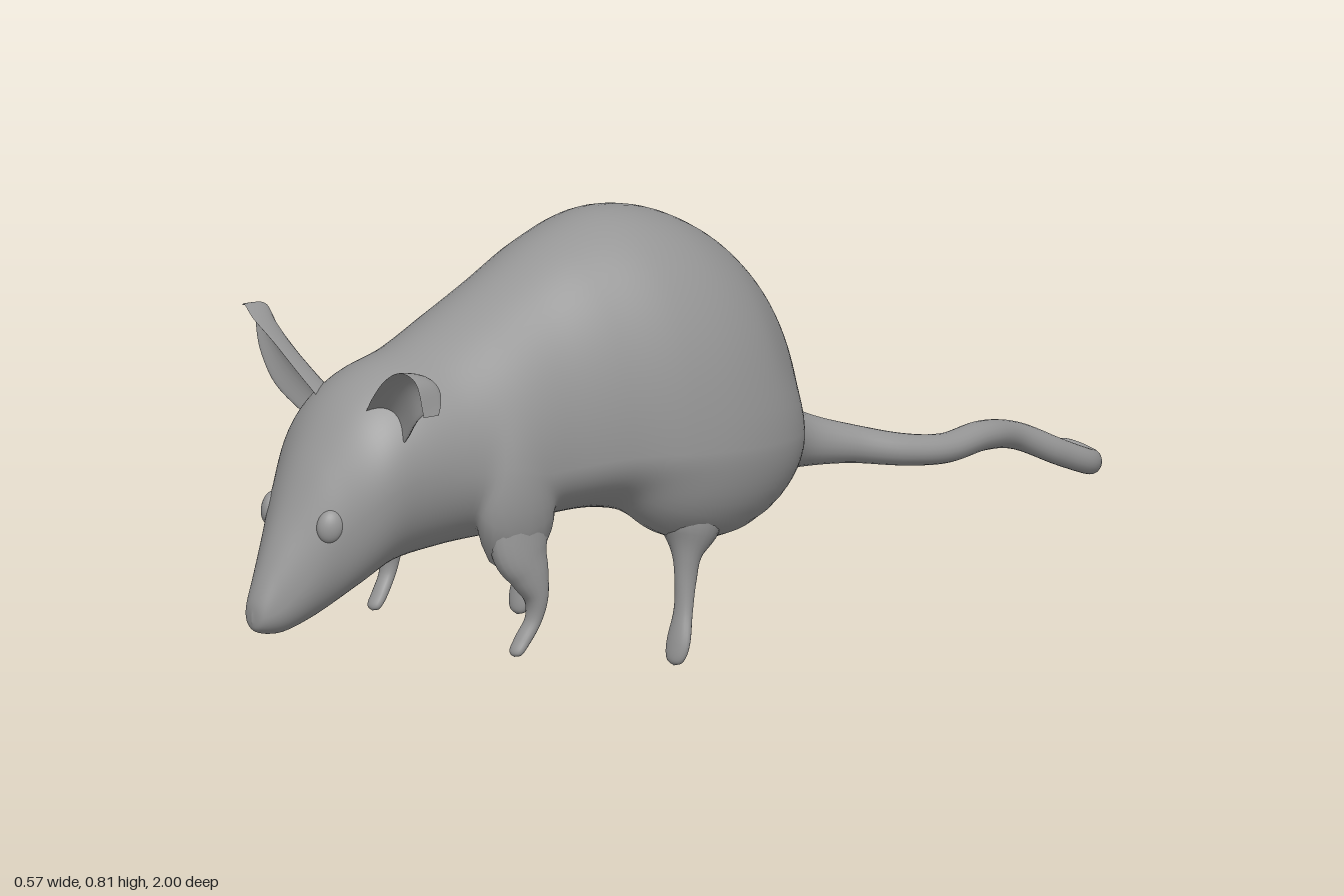
import * as THREE from 'three';

const material = new THREE.MeshStandardMaterial({ color: 0x969696 });
const V = (x, y, z) => new THREE.Vector3(x, y, z);
const spline = (pts) => new THREE.CatmullRomCurve3(pts, false, 'catmullrom', 0.5);

// Smooth skin over a list of closed rings, all with the same number of points
function loft(rings) {
  const n = rings[0].length, index = [];
  for (let i = 0; i < rings.length - 1; i++) {
    for (let j = 0; j < n; j++) {
      const k = (j + 1) % n;
      const a = i * n + j, b = i * n + k, c = a + n, d = b + n;
      index.push(a, c, b, b, c, d);
    }
  }
  const geometry = new THREE.BufferGeometry().setFromPoints(rings.flat());
  geometry.setIndex(index);
  geometry.computeVertexNormals();
  return geometry;
}

function makeRings(steps, sides, pointAt) {
  return Array.from({ length: steps + 1 }, (_, i) =>
    Array.from({ length: sides }, (_, j) => pointAt(i / steps, (j / sides) * Math.PI * 2)));
}

// Tube with changing thickness; stations are [x, y, z, radius, radius across]
function limb(stations, ref, steps, sides) {
  const path = spline(stations.map((s) => V(s[0], s[1], s[2])));
  const radii = spline(stations.map((s) => V(s[3], s[4], 0)));
  return loft(makeRings(steps, sides, (t, a) => {
    const tangent = path.getTangent(t);
    const side = tangent.clone().cross(ref).normalize();
    const up = side.clone().cross(tangent);
    const r = radii.getPoint(t);
    return path.getPoint(t)
      .addScaledVector(side, Math.cos(a) * Math.max(r.x, 0))
      .addScaledVector(up, Math.sin(a) * Math.max(r.y, 0));
  }));
}

// Muscle bulges that swell the torso: centre and radii of an ellipsoid
const bulges = [
  { centre: V(0.17, 0.375, 0.06), radii: V(0.11, 0.162, 0.205) }, // haunch
  { centre: V(0.168, 0.37, 0.515), radii: V(0.05, 0.145, 0.085) }, // shoulder
];

// Push a skin point softly outside every bulge, on its own side of the body
function swell(p) {
  const side = p.x < 0 ? -1 : 1;
  const softness = 0.1;
  p.x *= side;
  for (const { centre, radii } of bulges) {
    p.sub(centre);
    const e = p.clone().divide(radii).length();
    const pushed = e + softness * Math.log(1 + Math.exp((1 - e) / softness));
    p.multiplyScalar(pushed / e).add(centre);
  }
  p.x *= side;
  return p;
}

// Head and torso: egg-shaped sections, [z, top, bottom, half width, height of widest point]
function bodyGeometry() {
  const stations = [
    [1.0, 0.212, 0.2, 0, 0.205],
    [0.993, 0.245, 0.182, 0.024, 0.21],
    [0.965, 0.31, 0.172, 0.043, 0.225],
    [0.93, 0.38, 0.172, 0.064, 0.265],
    [0.87, 0.49, 0.19, 0.1, 0.35],
    [0.8, 0.575, 0.225, 0.143, 0.42],
    [0.72, 0.62, 0.26, 0.162, 0.45],
    [0.61, 0.645, 0.272, 0.183, 0.44],
    [0.5, 0.69, 0.276, 0.208, 0.42],
    [0.4, 0.735, 0.288, 0.218, 0.42],
    [0.29, 0.783, 0.285, 0.24, 0.42],
    [0.17, 0.81, 0.262, 0.27, 0.41],
    [0.06, 0.793, 0.245, 0.278, 0.4],
    [-0.04, 0.743, 0.235, 0.258, 0.39],
    [-0.12, 0.675, 0.23, 0.208, 0.38],
    [-0.18, 0.595, 0.23, 0.15, 0.37],
    [-0.22, 0.5, 0.233, 0.1, 0.34],
    [-0.236, 0.41, 0.24, 0.07, 0.32],
    [-0.24, 0.31, 0.3, 0, 0.305],
  ];
  const heights = spline(stations.map((s) => V(s[0], s[1], s[2])));
  const widths = spline(stations.map((s) => V(s[3], s[4], 0)));
  return loft(makeRings(140, 80, (t, a) => {
    const h = heights.getPoint(t), w = widths.getPoint(t);
    const s = Math.sin(a);
    const y = w.y + s * (s > 0 ? h.y - w.y : w.y - h.z);
    return swell(V(Math.cos(a) * Math.max(w.x, 0), y, h.x));
  }));
}

// Cupped ear with its upper edge tipped forward; stations are [ux, uy, lx, ly, z]
function earGeometry(stations, side) {
  const upper = spline(stations.map((s) => V(s[0], s[1], s[4] + 0.022)));
  const lower = spline(stations.map((s) => V(s[2], s[3], s[4] - 0.018)));
  return loft(makeRings(28, 28, (t, a) => {
    const c = Math.cos(a);
    const p = lower.getPoint(t).lerp(upper.getPoint(t), (c + 1) / 2);
    const taper = Math.sqrt(Math.max(0, 1 - t ** 4));
    const cup = taper * 0.035 * (1 - c * c);
    p.z += -side * taper * Math.sin(a) * 0.011 - cup;
    p.x -= side * cup * 0.3;
    p.y += cup * 0.3;
    return p;
  }));
}

export function createModel() {
  const model = new THREE.Group();
  const add = (name, geometry) => {
    const mesh = new THREE.Mesh(geometry, material);
    mesh.name = name;
    model.add(mesh);
    return mesh;
  };

  add('body', bodyGeometry());

  // Tail: wavy, thick at the rump, with a hooked tip
  add('tail', limb([
    [0, 0.33, -0.16, 0.12, 0.11],
    [0.002, 0.305, -0.235, 0.075, 0.07],
    [0.012, 0.285, -0.31, 0.046, 0.049],
    [0.04, 0.266, -0.4, 0.036, 0.035],
    [0.078, 0.246, -0.49, 0.032, 0.029],
    [0.09, 0.233, -0.58, 0.031, 0.027],
    [0.068, 0.23, -0.69, 0.03, 0.027],
    [0.046, 0.205, -0.79, 0.025, 0.025],
    [0.06, 0.16, -0.88, 0.022, 0.024],
    [0.06, 0.128, -0.95, 0.021, 0.023],
    [0.03, 0.12, -0.978, 0.019, 0.022],
    [-0.005, 0.132, -0.968, 0.015, 0.018],
    [-0.026, 0.137, -0.955, 0.011, 0.014],
    [-0.034, 0.138, -0.949, 0, 0],
  ], V(0, 1, 0), 90, 20));

  // Paired eyes and legs
  for (const side of [1, -1]) {
    const label = side > 0 ? 'left' : 'right';
    const eye = add(label + 'Eye', new THREE.SphereGeometry(1, 24, 16));
    eye.position.set(side * 0.08, 0.374, 0.882);
    eye.scale.set(0.018, 0.031, 0.025);
    eye.rotation.set(-0.25, side * -0.55, 0);

    const leg = (stations) =>
      limb(stations.map(([x, ...rest]) => [side * x, ...rest]), V(0, 0, 1), 40, 20);
    add(label + 'FrontLeg', leg([
      [0.175, 0.34, 0.52, 0.035, 0.065],
      [0.183, 0.28, 0.518, 0.034, 0.06],
      [0.193, 0.235, 0.505, 0.028, 0.042],
      [0.199, 0.19, 0.494, 0.022, 0.023],
      [0.198, 0.15, 0.5, 0.017, 0.014],
      [0.194, 0.115, 0.522, 0.017, 0.012],
      [0.193, 0.094, 0.538, 0.014, 0.009],
      [0.193, 0.087, 0.541, 0, 0],
    ]));
    add(label + 'HindLeg', leg([
      [0.185, 0.31, 0.11, 0.06, 0.08],
      [0.195, 0.245, 0.122, 0.048, 0.058],
      [0.202, 0.2, 0.135, 0.027, 0.028],
      [0.205, 0.155, 0.141, 0.02, 0.02],
      [0.209, 0.1, 0.15, 0.02, 0.015],
      [0.213, 0.045, 0.165, 0.028, 0.014],
      [0.213, 0.013, 0.174, 0.02, 0.01],
      [0.213, 0.003, 0.176, 0, 0],
    ]));
  }

  // Ears: the left tip folds over, the right one stands up
  add('leftEar', earGeometry([
    [0.06, 0.56, 0.095, 0.49, 0.76],
    [0.1, 0.605, 0.145, 0.525, 0.775],
    [0.15, 0.65, 0.19, 0.572, 0.79],
    [0.197, 0.675, 0.228, 0.602, 0.795],
    [0.246, 0.666, 0.256, 0.613, 0.8],
    [0.272, 0.61, 0.268, 0.606, 0.805],
  ], 1));
  add('rightEar', earGeometry([
    [-0.06, 0.56, -0.1, 0.49, 0.76],
    [-0.105, 0.605, -0.15, 0.52, 0.775],
    [-0.155, 0.655, -0.197, 0.56, 0.79],
    [-0.208, 0.685, -0.235, 0.612, 0.79],
    [-0.244, 0.702, -0.258, 0.66, 0.78],
    [-0.268, 0.692, -0.27, 0.686, 0.765],
  ], -1));

  return model;
}
